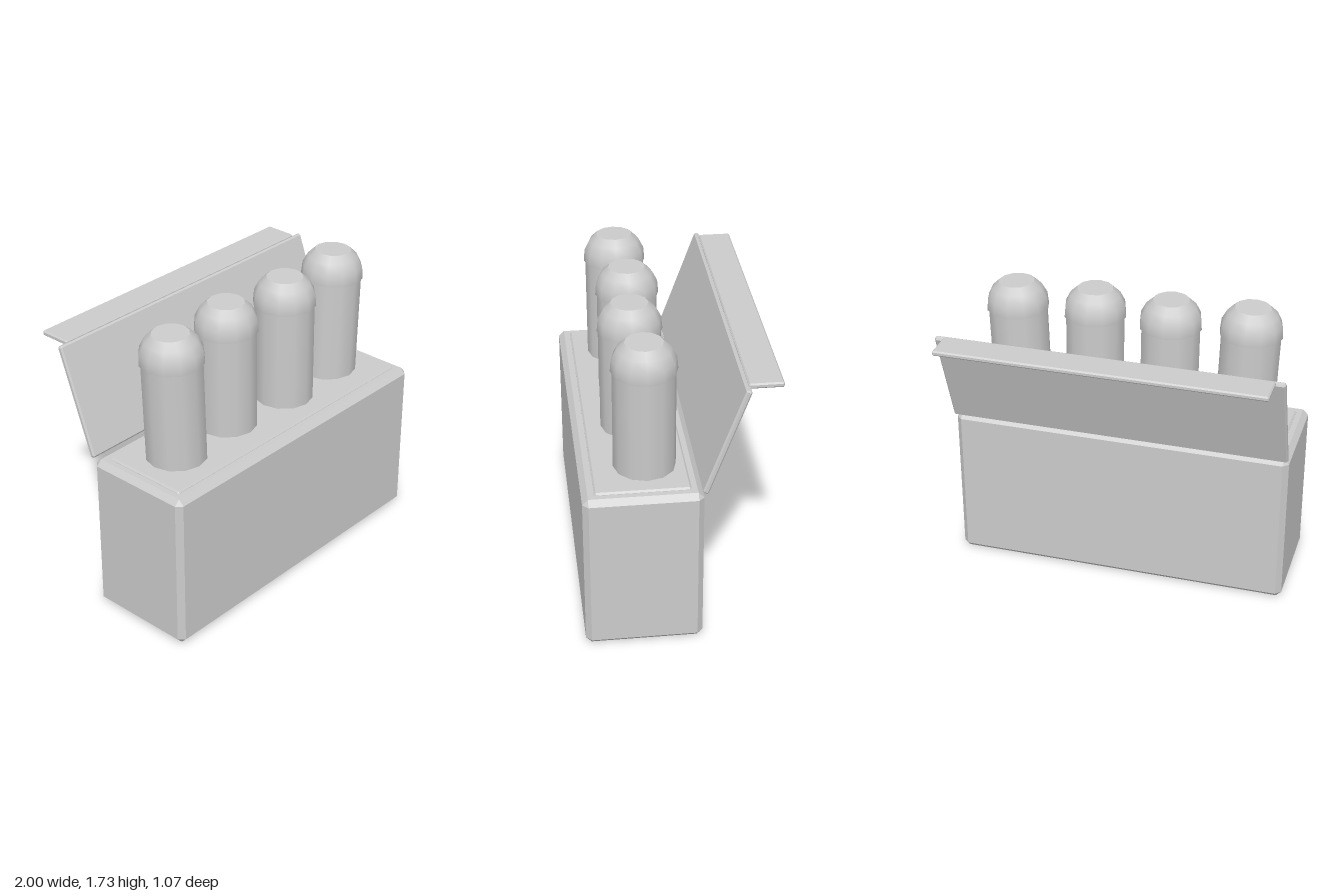
import * as THREE from 'three';
import { ConvexGeometry } from 'three/addons/geometries/ConvexGeometry.js';

const flat = new THREE.MeshStandardMaterial({ color: 0xcccccc, flatShading: true });
const smooth = new THREE.MeshStandardMaterial({ color: 0xcccccc });

// Box with every edge and corner cut by a chamfer
function chamferBox(name, w, h, d, c, x, y, z) {
  const pts = [];
  for (const sx of [-1, 1]) for (const sy of [-1, 1]) for (const sz of [-1, 1]) {
    for (let axis = 0; axis < 3; axis++) {
      const p = [w, h, d].map((s, i) => s / 2 - (i === axis ? 0 : c));
      pts.push(new THREE.Vector3(sx * p[0], sy * p[1], sz * p[2]));
    }
  }
  const mesh = new THREE.Mesh(new ConvexGeometry(pts), flat);
  mesh.name = name;
  mesh.position.set(x, y, z);
  return mesh;
}

// Tube with a slightly wider domed cap; origin at the box top
function createVial(name, x, z, tilt) {
  const vial = new THREE.Group();
  vial.name = name;
  const body = new THREE.Mesh(new THREE.CylinderGeometry(0.173, 0.173, 0.66, 12), smooth);
  body.name = 'vialBody';
  body.position.y = 0.28;
  const dome = [[0.172, 0.607], [0.182, 0.61], [0.176, 0.68], [0.147, 0.737], [0.105, 0.776]];
  const cap = new THREE.Mesh(
    new THREE.LatheGeometry(dome.map(([r, y]) => new THREE.Vector2(r, y)), 12), smooth);
  cap.name = 'vialCap';
  const top = new THREE.Mesh(new THREE.CircleGeometry(0.105, 12), flat);
  top.name = 'capTop';
  top.rotation.x = -Math.PI / 2;
  top.position.y = 0.776;
  vial.add(body, cap, top);
  vial.position.set(x, 0.95, z);
  vial.rotation.z = tilt;
  return vial;
}

export function createModel() {
  const model = new THREE.Group();
  model.name = 'vialBox';

  // Case and the thin tray on top of it
  model.add(chamferBox('case', 2, 0.948, 0.655, 0.032, 0, 0.474, 0.207));
  model.add(chamferBox('tray', 1.87, 0.04, 0.525, 0.01, 0, 0.94, 0.205));

  // Open lid leaning back, with its flap
  const lid = chamferBox('lid', 2, 0.65, 0.034, 0.009, 0, 1.262, -0.233);
  lid.rotation.x = THREE.MathUtils.degToRad(-20);
  model.add(lid);
  model.add(chamferBox('lidFlap', 1.89, 0.03, 0.19, 0.008, 0, 1.564, -0.44));

  // Row of four vials, staggered and slightly tilted
  [
    [-0.67, 0.2, 0.037],
    [-0.224, 0.17, 0.012],
    [0.231, 0.2, 0.008],
    [0.668, 0.17, -0.03],
  ].forEach(([x, z, tilt], i) => model.add(createVial('vial' + (i + 1), x, z, tilt)));

  return model;
}
